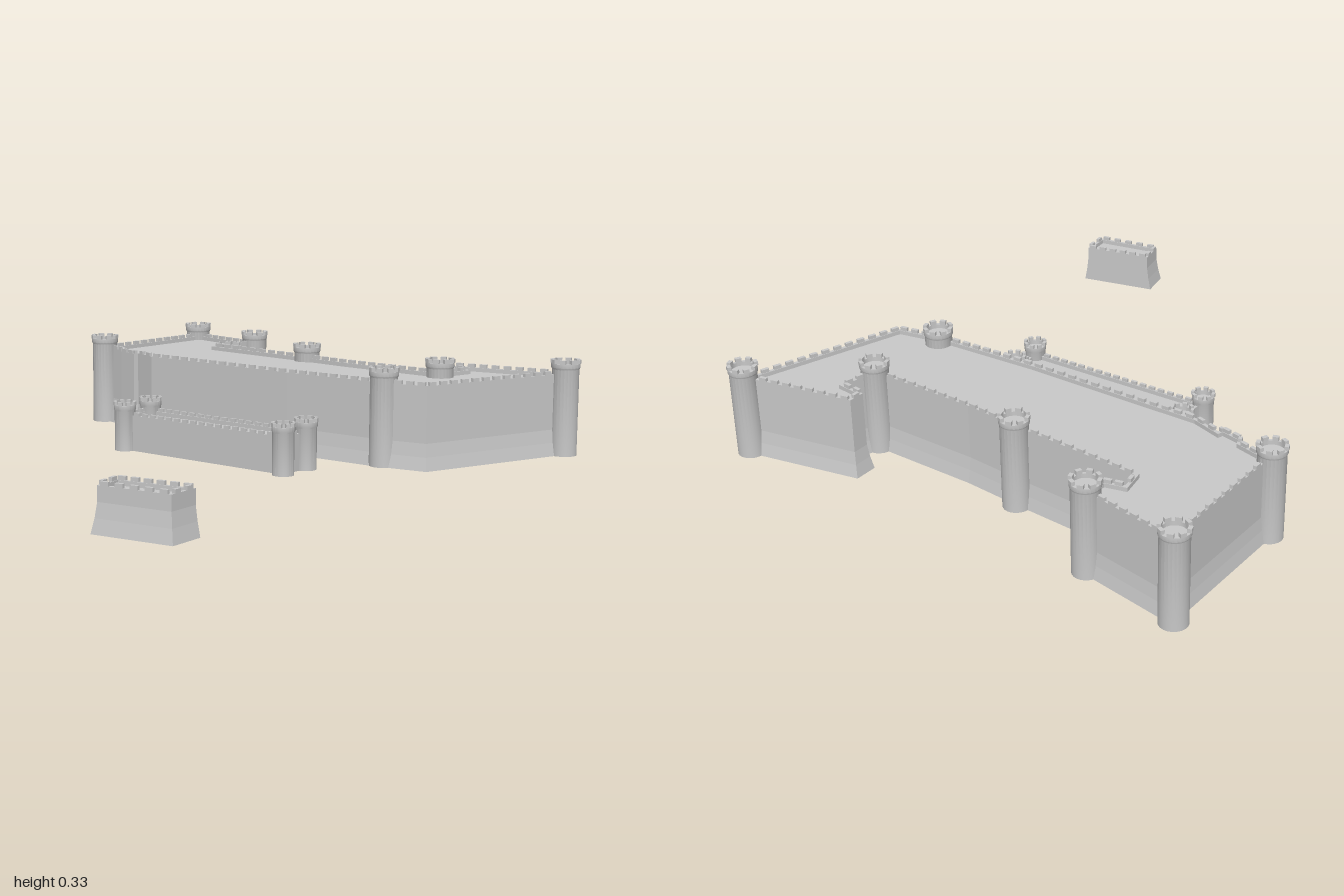
import * as THREE from 'three';
import { mergeGeometries, toCreasedNormals } from 'three/addons/utils/BufferGeometryUtils.js';

const stone = new THREE.MeshStandardMaterial({ color: 0xc8c8c8, side: THREE.DoubleSide });
stone.name = 'grey stone';

// Moves each edge of a plan outline ([x, z] corners) outwards by its own distance
function offsetPlan(plan, dist) {
  const n = plan.length;
  const normal = (i) => {
    const a = plan[i], b = plan[(i + 1) % n];
    const dx = b[0] - a[0], dz = b[1] - a[1], l = Math.hypot(dx, dz);
    return [-dz / l, dx / l];
  };
  return plan.map(([x, z], i) => {
    const j = (i + n - 1) % n, p = normal(j), q = normal(i);
    const d1 = dist(j), d2 = dist(i), det = p[0] * q[1] - p[1] * q[0];
    if (Math.abs(det) < 0.02) return [x + q[0] * d2, z + q[1] * d2];
    return [x + (d1 * q[1] - d2 * p[1]) / det, z + (p[0] * d2 - q[0] * d1) / det];
  });
}

// Merlons in even steps along every wall
function merlons(plan, y, height, depth, step) {
  const boxes = [];
  plan.forEach((a, i) => {
    const b = plan[(i + 1) % plan.length];
    const dx = b[0] - a[0], dz = b[1] - a[1], len = Math.hypot(dx, dz);
    const count = Math.max(1, Math.round(len / step));
    for (let k = 0; k < count; k++) {
      const t = (k + 0.5) / count;
      const box = new THREE.BoxGeometry(Math.min(step * 0.58, len * 0.6), height, depth);
      box.translate(0, height / 2, -depth / 2 + 0.002);
      box.rotateY(-Math.atan2(dz, dx));
      box.translate(a[0] + dx * t, y, a[1] + dz * t);
      boxes.push(box);
    }
  });
  return mergeGeometries(boxes);
}

// Walled block: spreading foot, parapet, sunken roof and merlons; open below
function walledBlock(name, plan, o) {
  const group = new THREE.Group();
  group.name = name;
  const ring = (d, y) => offsetPlan(plan, (i) => (d > 0 && o.plainEdges.includes(i) ? 0 : d)).map(([x, z]) => [x, y, z]);
  const rings = [[0, o.top], [-o.thick, o.top], [-o.thick, o.roof]];
  if (o.flare) rings.unshift([o.flare, 0], [o.flare * 0.4, o.foot * 0.5], [0, o.foot]);
  else rings.unshift([0, 0]);
  const loops = rings.map(([d, y]) => ring(d, y));
  const pos = [];
  for (let k = 0; k + 1 < loops.length; k++) {
    plan.forEach((_, i) => {
      const j = (i + 1) % plan.length;
      const a = loops[k][i], b = loops[k][j], c = loops[k + 1][j], d = loops[k + 1][i];
      pos.push(...a, ...b, ...c, ...a, ...c, ...d);
    });
  }
  const wall = new THREE.BufferGeometry();
  wall.setAttribute('position', new THREE.Float32BufferAttribute(pos, 3));
  wall.computeVertexNormals();
  add(group, 'walls', wall);

  const inner = loops[loops.length - 1].map(([x, , z]) => new THREE.Vector2(x, -z));
  const roof = new THREE.ShapeGeometry(new THREE.Shape(inner));
  roof.rotateX(-Math.PI / 2).translate(0, o.roof, 0);
  add(group, 'roof', roof);
  add(group, 'merlons', merlons(plan, o.top, o.merlon, o.thick, o.step));
  return group;
}

// Round tower with a crenellated crown around a sunken platform
function tower(x, z, r, h) {
  const group = new THREE.Group();
  group.name = 'tower';
  const R = r * 1.07, inR = r * 0.85, rim = h - 0.013;
  const profile = [[0, 0], [r, 0], [r, rim - 0.02], [R, rim - 0.014], [R, rim], [inR, rim], [inR, rim - 0.014], [0, rim - 0.014]]
    .map(([a, b]) => new THREE.Vector2(a, b));
  add(group, 'towerBody', toCreasedNormals(new THREE.LatheGeometry(profile, 24), 0.5));
  const teeth = [];
  for (let i = 0; i < 8; i++) {
    const box = new THREE.BoxGeometry(r * 0.42, 0.013, R - inR + 0.003);
    box.translate(0, rim + 0.0065, (R + inR) / 2);
    box.rotateY((i + 0.5) * Math.PI / 4);
    teeth.push(box);
  }
  add(group, 'towerMerlons', mergeGeometries(teeth));
  group.position.set(x, 0, z);
  return group;
}

function add(group, name, geometry) {
  const mesh = new THREE.Mesh(geometry, stone);
  mesh.name = name;
  group.add(mesh);
}

export function createModel() {
  const model = new THREE.Group();
  model.name = 'fortress';

  // Main castle, outline runs along the front, right, back and left
  const castle = [
    [-0.79, -0.285], [-0.67, -0.265], [-0.66, -0.242], [-0.578, -0.232], [-0.574, -0.25], [-0.475, -0.228],
    [0.16, -0.282], [0.535, -0.333], [0.695, -0.378], [0.825, -0.945],
    [0.447, -0.835], [0.452, -0.777], [0.54, -0.775], [0.525, -0.65],
    [0.135, -0.622], [-0.076, -0.622], [-0.535, -0.612], [-0.552, -0.675], [-0.485, -0.697],
    [-0.485, -0.775], [-0.83, -0.808],
  ];
  model.add(walledBlock('mainCastle', castle, {
    top: 0.28, roof: 0.266, thick: 0.012, flare: 0.014, foot: 0.09, merlon: 0.012, step: 0.044, plainEdges: [],
  }));
  for (const [x, z] of [[-0.84, -0.81], [-0.485, -0.775], [-0.076, -0.635], [0.525, -0.655],
    [0.833, -0.948], [0.535, -0.35], [-0.793, -0.275]]) model.add(tower(x, z, 0.046, 0.33));

  // Low outer work with a tower on each corner
  const outer = [[-0.268, 0.082], [0.418, 0.005], [0.403, -0.118], [-0.28, -0.048]];
  model.add(walledBlock('outerWork', outer, {
    top: 0.124, roof: 0.11, thick: 0.01, flare: 0, foot: 0, merlon: 0.011, step: 0.037, plainEdges: [],
  }));
  for (const [x, z] of outer) model.add(tower(x, z, 0.036, 0.172));

  // Detached gatehouse, upright at its back
  const gate = [[0.638, 0.972], [0.87, 0.908], [0.852, 0.802], [0.611, 0.878]];
  model.add(walledBlock('gatehouse', gate, {
    top: 0.137, roof: 0.122, thick: 0.011, flare: 0.014, foot: 0.09, merlon: 0.012, step: 0.044, plainEdges: [2],
  }));
  return model;
}
